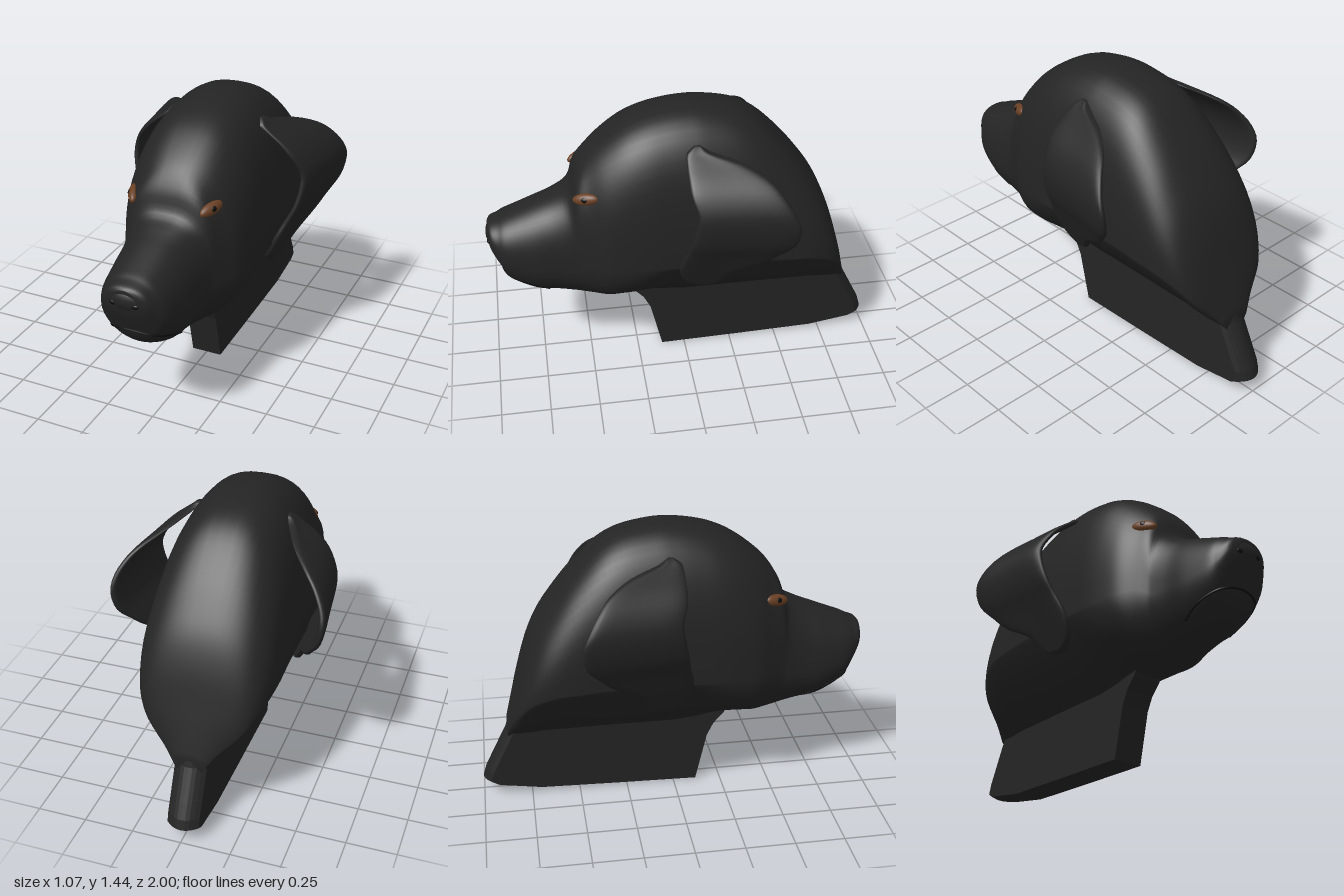
import * as THREE from 'three';

const mat = (name, color) => Object.assign(new THREE.MeshStandardMaterial({ color }), { name });

// Smooth resampling of rows of numbers
function resample(rows, steps) {
  const out = [];
  for (let i = 0; i < rows.length - 1; i++) {
    const p = rows[Math.max(i - 1, 0)], a = rows[i], b = rows[i + 1];
    const q = rows[Math.min(i + 2, rows.length - 1)];
    for (let s = 0; s < steps; s++) {
      const t = s / steps;
      out.push(a.map((v, k) => v + 0.5 * t * (b[k] - p[k]
        + t * (2 * p[k] - 5 * v + 4 * b[k] - q[k] + t * (3 * (v - b[k]) + q[k] - p[k])))));
    }
  }
  out.push(rows[rows.length - 1]);
  return out;
}

// Skin over closed rings, capped at both ends
function loft(rings) {
  const n = rings[0].length, pos = [], idx = [];
  rings.forEach(r => r.forEach(v => pos.push(v.x, v.y, v.z)));
  const centre = r => {
    const c = r.reduce((s, v) => s.add(v), new THREE.Vector3()).divideScalar(n);
    return pos.push(c.x, c.y, c.z) / 3 - 1;
  };
  const last = rings.length - 1;
  const c0 = centre(rings[0]), c1 = centre(rings[last]);
  for (let j = 0; j < n; j++) {
    const k = (j + 1) % n;
    for (let i = 0; i < last; i++) {
      const a = i * n + j, b = i * n + k;
      idx.push(a, a + n, b, b, a + n, b + n);
    }
    idx.push(c0, j, k, c1, last * n + k, last * n + j);
  }
  const g = new THREE.BufferGeometry();
  g.setAttribute('position', new THREE.Float32BufferAttribute(pos, 3));
  g.setIndex(idx);
  g.computeVertexNormals();
  return g;
}

const spow = (v, e) => Math.sign(v) * Math.pow(Math.abs(v), e);

// Head and nape: z, top, bottom, half width, widest height, upper and lower roundness
function headGeometry() {
  const front = [
    [0.985, 0.84, 0.75, 0.06, 0.79, 2, 2],
    [0.97, 0.855, 0.70, 0.11, 0.77, 2.2, 2],
    [0.93, 0.87, 0.61, 0.145, 0.72, 2.3, 2],
    [0.90, 0.885, 0.55, 0.165, 0.70, 2.3, 2],
    [0.85, 0.905, 0.50, 0.18, 0.68, 2.3, 2],
    [0.75, 0.945, 0.45, 0.20, 0.66, 2.3, 2],
    [0.65, 0.985, 0.435, 0.21, 0.66, 2.4, 2],
    [0.57, 1.03, 0.42, 0.225, 0.66, 2.8, 2],
    [0.535, 1.13, 0.41, 0.237, 0.68, 3, 2],
    [0.48, 1.215, 0.40, 0.265, 0.70, 2.5, 2],
    [0.40, 1.29, 0.395, 0.305, 0.70, 2.5, 2],
    [0.30, 1.36, 0.40, 0.325, 0.70, 2.6, 1.9],
    [0.20, 1.405, 0.37, 0.335, 0.70, 2.6, 1.5]];
  const back = [
    [0.10, 1.43, 0.32, 0.336, 0.70, 2.6, 1.2],
    [0, 1.442, 0.30, 0.336, 0.70, 2.6, 1.15],
    [-0.10, 1.44, 0.30, 0.336, 0.70, 2.6, 1.15],
    [-0.25, 1.41, 0.30, 0.336, 0.70, 2.6, 1.15],
    [-0.37, 1.345, 0.30, 0.336, 0.70, 2.6, 1.15],
    [-0.50, 1.215, 0.30, 0.336, 0.69, 2.6, 1.15],
    [-0.60, 1.09, 0.30, 0.33, 0.68, 2.5, 1.15],
    [-0.68, 0.97, 0.30, 0.31, 0.65, 2.4, 1.15],
    [-0.74, 0.83, 0.30, 0.28, 0.61, 2.3, 1.2],
    [-0.79, 0.66, 0.30, 0.23, 0.54, 2.2, 1.2],
    [-0.83, 0.52, 0.30, 0.14, 0.45, 2, 1.3],
    [-0.86, 0.41, 0.30, 0.08, 0.37, 2, 1.5]];
  const N = 56;
  return loft(resample([...front, ...back], 4).map(([z, top, bot, w, mid, n, m]) =>
    Array.from({ length: N }, (_, j) => {
      const a = j / N * Math.PI * 2, c = Math.cos(a), s = Math.sin(a);
      const e = 2 / (s >= 0 ? n : m);
      return new THREE.Vector3(w * spow(c, e), mid + (s >= 0 ? top - mid : mid - bot) * spow(s, e), z);
    })));
}

// Hanging ear: height, front z, back z, distance out from the middle
function earGeometry(side) {
  const rows = [
    [1.33, -0.025, -0.055, 0.25],
    [1.305, 0.012, -0.10, 0.27],
    [1.27, 0.02, -0.24, 0.315],
    [1.22, 0.02, -0.35, 0.38],
    [1.16, 0.015, -0.41, 0.435],
    [1.08, -0.01, -0.46, 0.475],
    [1.0, 0, -0.49, 0.482],
    [0.90, 0.02, -0.475, 0.462],
    [0.82, 0.035, -0.41, 0.425],
    [0.75, 0.055, -0.34, 0.395],
    [0.68, 0.06, -0.22, 0.365],
    [0.62, 0.045, -0.17, 0.338],
    [0.58, 0.01, -0.14, 0.32],
    [0.558, -0.04, -0.09, 0.31]];
  const N = 32;
  return loft(resample(rows, 3).map(([y, zf, zb, x]) =>
    Array.from({ length: N }, (_, j) => {
      const a = side * j / N * Math.PI * 2, c = spow(Math.cos(a), 0.8), s = spow(Math.sin(a), 0.6);
      const z = (zf + zb) / 2 + (zf - zb) / 2 * c;
      const thick = Math.min(0.024, (zf - zb) * 0.3) * (0.75 + 0.35 * c * c);
      return new THREE.Vector3(side * (x - (z + 0.2) * 0.13 + thick * s), y, z);
    })));
}

// Flat neck slab drawn in profile, its rear edge rounded
function neckGeometry() {
  const pts = [[0.12, 0], [0.18, 0.26], [0.215, 0.33], [0.27, 0.39], [0.30, 0.46], [-0.78, 0.58],
    [-0.82, 0.53], [-0.87, 0.36], [-0.95, 0.2], [-0.985, 0.13], [-1, 0.08], [-0.96, 0.058], [-0.7, 0.022], [-0.3, 0.01]];
  const shape = new THREE.Shape(pts.map(p => new THREE.Vector2(...p)));
  const g = new THREE.ExtrudeGeometry(shape, { depth: 0.16, steps: 8, bevelEnabled: false });
  g.translate(0, 0, -0.08).rotateY(-Math.PI / 2);
  const p = g.attributes.position;
  for (let i = 0; i < p.count; i++) {
    if (p.getZ(i) < -0.8) p.setZ(i, p.getZ(i) + 0.04 * (p.getX(i) / 0.08) ** 2);
  }
  g.computeVertexNormals();
  return g;
}

export function createModel() {
  const coat = mat('black coat', 0x242424);
  const dark = mat('deep black', 0x0c0c0c);
  const brown = mat('brown iris', 0x6a4024);
  const model = new THREE.Group();
  model.name = 'dogHead';
  const add = (name, geo, material, parent = model) => {
    const m = new THREE.Mesh(geo, material);
    m.name = name;
    parent.add(m);
    return m;
  };
  const blob = (name, material, pos, scale, parent) => {
    const m = add(name, new THREE.SphereGeometry(1, 28, 18), material, parent);
    m.position.set(...pos);
    m.scale.set(...scale);
    return m;
  };

  add('head', headGeometry(), coat);
  add('neck', neckGeometry(), coat);
  blob('nose', coat, [0, 0.785, 0.93], [0.12, 0.072, 0.065]);

  // Mouth crease wrapping the muzzle
  const half = [[0.14, 0.5, 0.7], [0.15, 0.55, 0.8], [0.112, 0.59, 0.9]];
  const path = [...half, [0, 0.61, 0.932], ...half.slice().reverse().map(([x, y, z]) => [-x, y, z])];
  add('mouth', new THREE.TubeGeometry(
    new THREE.CatmullRomCurve3(path.map(p => new THREE.Vector3(...p))), 48, 0.006, 6), dark);

  for (const side of [1, -1]) {
    const label = side > 0 ? 'left' : 'right';
    add(label + 'Ear', earGeometry(side), coat);
    blob(label + 'Nostril', dark, [side * 0.055, 0.77, 0.982], [0.018, 0.012, 0.008]);

    // Almond eye, turned outward with its rear corner raised
    const eye = new THREE.Group();
    eye.name = label + 'Eye';
    eye.position.set(side * 0.202, 1.065, 0.495);
    eye.rotation.set(-0.3, side * 1.1, side * 0.2, 'YXZ');
    blob(label + 'Iris', brown, [0, 0, 0], [0.068, 0.03, 0.025], eye);
    blob(label + 'Pupil', dark, [0, 0, 0.012], [0.022, 0.017, 0.016], eye);
    model.add(eye);
  }
  return model;
}
